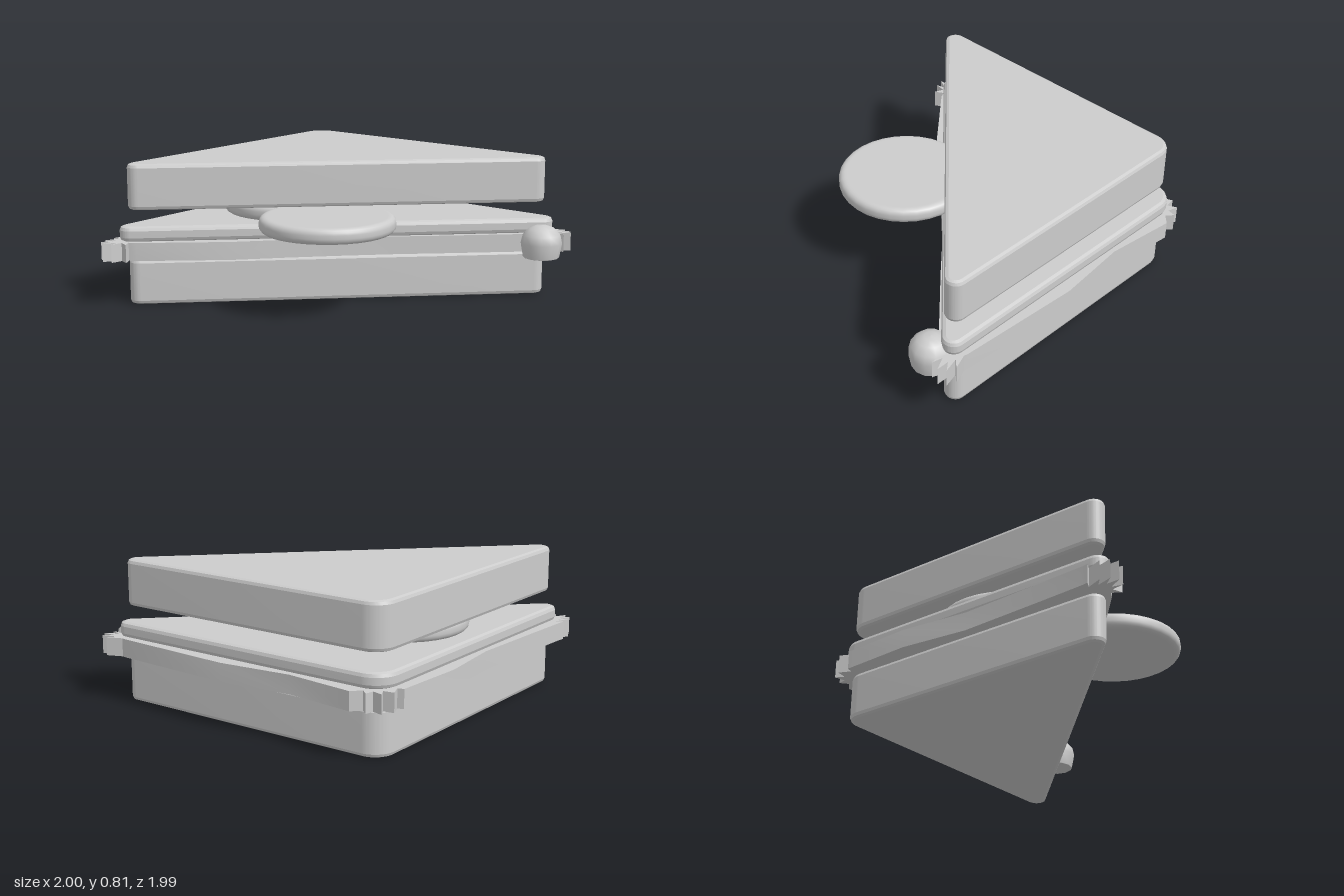
import * as THREE from 'three';
import { toCreasedNormals } from 'three/addons/utils/BufferGeometryUtils.js';

const grey = new THREE.MeshStandardMaterial({ color: 0xcccccc });
grey.name = 'plain grey';

// Right triangle with rounded corners: legs at -a, long edge x + z = s
function triangle(a, s, rRight, rTip) {
  const far = s + a - rTip * (1 + Math.SQRT2), near = -a + rTip;
  const shape = new THREE.Shape();
  shape.absarc(-a + rRight, -a + rRight, rRight, Math.PI, Math.PI * 1.5);
  shape.absarc(far, near, rTip, -Math.PI / 2, Math.PI / 4);
  shape.absarc(near, far, rTip, Math.PI / 4, Math.PI);
  shape.closePath();
  return shape;
}

// Horizontal slab from y0 to y1 with an optional rounded rim
function slab(name, shape, y0, y1, bevel = 0) {
  const geo = new THREE.ExtrudeGeometry(shape, {
    depth: y1 - y0 - 2 * bevel, curveSegments: 12, bevelEnabled: bevel > 0,
    bevelSize: bevel, bevelThickness: bevel, bevelOffset: -bevel, bevelSegments: 2,
  });
  geo.rotateX(Math.PI / 2).translate(0, y1 - bevel, 0);
  const mesh = new THREE.Mesh(toCreasedNormals(geo, 0.3), grey);
  mesh.name = name;
  return mesh;
}

// Turned part from [radius, y] pairs
function turned(name, profile, sides, x, z) {
  const pts = profile.map(([r, y]) => new THREE.Vector2(r, y));
  const mesh = new THREE.Mesh(new THREE.LatheGeometry(pts, sides), grey);
  mesh.name = name;
  mesh.position.set(x, 0, z);
  return mesh;
}

// Ragged leaf outline, with the same frayed tip at both sharp corners
function leafShape() {
  const tip = [
    [-0.99, 0.8], [-0.995, 0.84], [-0.955, 0.82], [-0.99, 0.91], [-0.945, 0.87], [-0.97, 0.96],
    [-0.93, 0.91], [-0.93, 0.985], [-0.89, 0.91], [-0.875, 0.97], [-0.865, 0.9], [-0.81, 0.92],
    [-0.84, 0.87], [-0.8, 0.85],
  ];
  const rightCorner = [
    [-0.78, -1], [-0.83, -0.95], [-0.87, -0.985], [-0.88, -0.935], [-0.94, -0.95],
    [-0.915, -0.9], [-0.975, -0.89], [-0.945, -0.82], [-0.98, -0.81],
  ];
  const outline = [
    ...rightCorner,
    [-1, -0.38], [-0.955, 0.02], [-0.975, 0.5],
    ...tip,
    [-0.4, 0.49], [-0.2, 0.26], [0, 0.04], [0.25, -0.22], [0.44, -0.4],
    ...tip.map(([x, z]) => [z, x]).reverse().slice(0, -2),
    [0.8, -0.96], [0.06, -1], [-0.37, -0.955],
  ];
  return new THREE.Shape(outline.map(([x, z]) => new THREE.Vector2(x, z)));
}

export function createModel() {
  const group = new THREE.Group();
  group.name = 'sandwich';

  // Bread slices, leaf and filling slice
  const bread = triangle(0.91, 0.01, 0.12, 0.06);
  group.add(slab('bottomBread', bread, 0, 0.265, 0.022));
  group.add(slab('lettuce', leafShape(), 0.265, 0.37));
  group.add(slab('cheese', triangle(0.94, 0.03, 0.14, 0.064), 0.37, 0.458, 0.024));
  group.add(slab('topBread', bread, 0.55, 0.815, 0.022));

  // Two overlapping round slices
  const R = 0.385, y0 = 0.46, y1 = 0.55, b = 0.035;
  const rim = [[0, y0], [R - b - 0.012, y0]];
  for (let i = 0; i <= 4; i++) {
    const t = (i / 4) * Math.PI / 2;
    rim.push([R - b + b * Math.sin(t), y0 + b - b * Math.cos(t)]);
  }
  for (let i = 0; i <= 4; i++) {
    const t = (i / 4) * Math.PI / 2;
    rim.push([R - b + b * Math.cos(t), y1 - b + b * Math.sin(t)]);
  }
  rim.push([R - b - 0.012, y1], [0, y1]);
  group.add(turned('frontTomato', rim, 32, 0.1, 0.235));
  group.add(turned('backTomato', rim, 32, -0.465, -0.09));

  // Small ball with a flat base at the corner
  group.add(turned('olive', [
    [0, 0.24], [0.102, 0.24], [0.105, 0.242], [0.12, 0.325], [0.108, 0.375], [0.075, 0.412], [0.035, 0.427], [0, 0.43],
  ], 12, 0.88, -0.775));

  return group;
}
